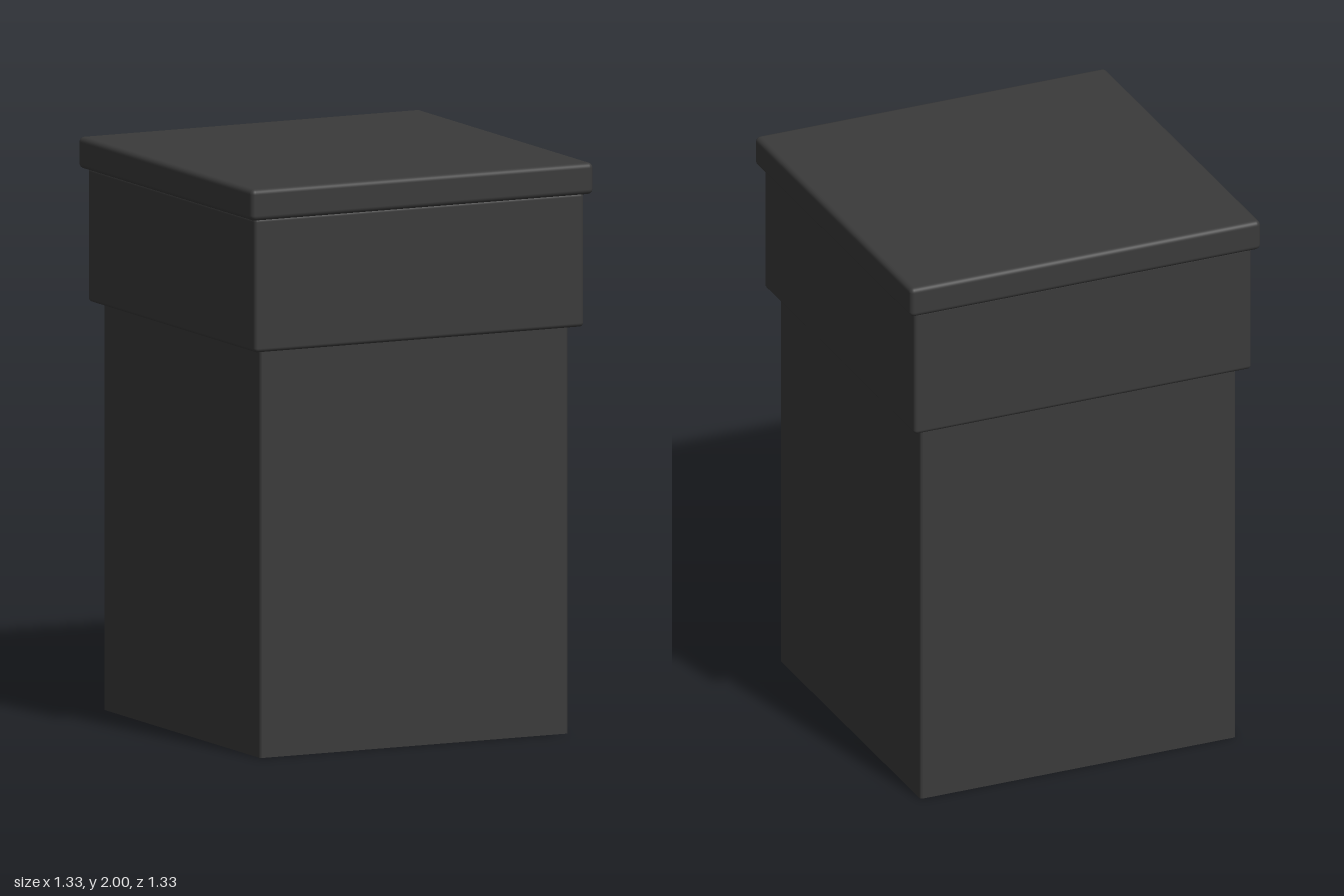
import * as THREE from 'three';
import { RoundedBoxGeometry } from 'three/addons/geometries/RoundedBoxGeometry.js';

const material = new THREE.MeshStandardMaterial({ color: 0x3a3a3a });

// Square shape with rounded corners
function roundedSquare(h, r) {
  const s = new THREE.Shape();
  s.absarc(h - r, h - r, r, 0, Math.PI / 2);
  s.absarc(r - h, h - r, r, Math.PI / 2, Math.PI);
  s.absarc(r - h, r - h, r, Math.PI, Math.PI * 1.5);
  s.absarc(h - r, r - h, r, Math.PI * 1.5, Math.PI * 2);
  s.closePath();
  return s;
}

export function createModel() {
  const group = new THREE.Group();

  function add(name, geometry, y) {
    const mesh = new THREE.Mesh(geometry, material);
    mesh.name = name;
    mesh.position.y = y;
    group.add(mesh);
  }

  // Body: rounded upright edges, crisp flat base
  const body = new THREE.ExtrudeGeometry(roundedSquare(0.597, 0.012), {
    depth: 1.45, bevelEnabled: false, curveSegments: 4,
  });
  body.rotateX(-Math.PI / 2);
  add('body', body, 0);

  // Collar and lid: softly rounded slabs
  const slabs = [
    ['collar', 1.276, 1.425, 1.895, 0.014],
    ['lid', 1.326, 1.89, 2, 0.018],
  ];
  for (const [name, width, bottom, top, radius] of slabs) {
    add(name, new RoundedBoxGeometry(width, top - bottom, width, 4, radius), (bottom + top) / 2);
  }

  return group;
}
